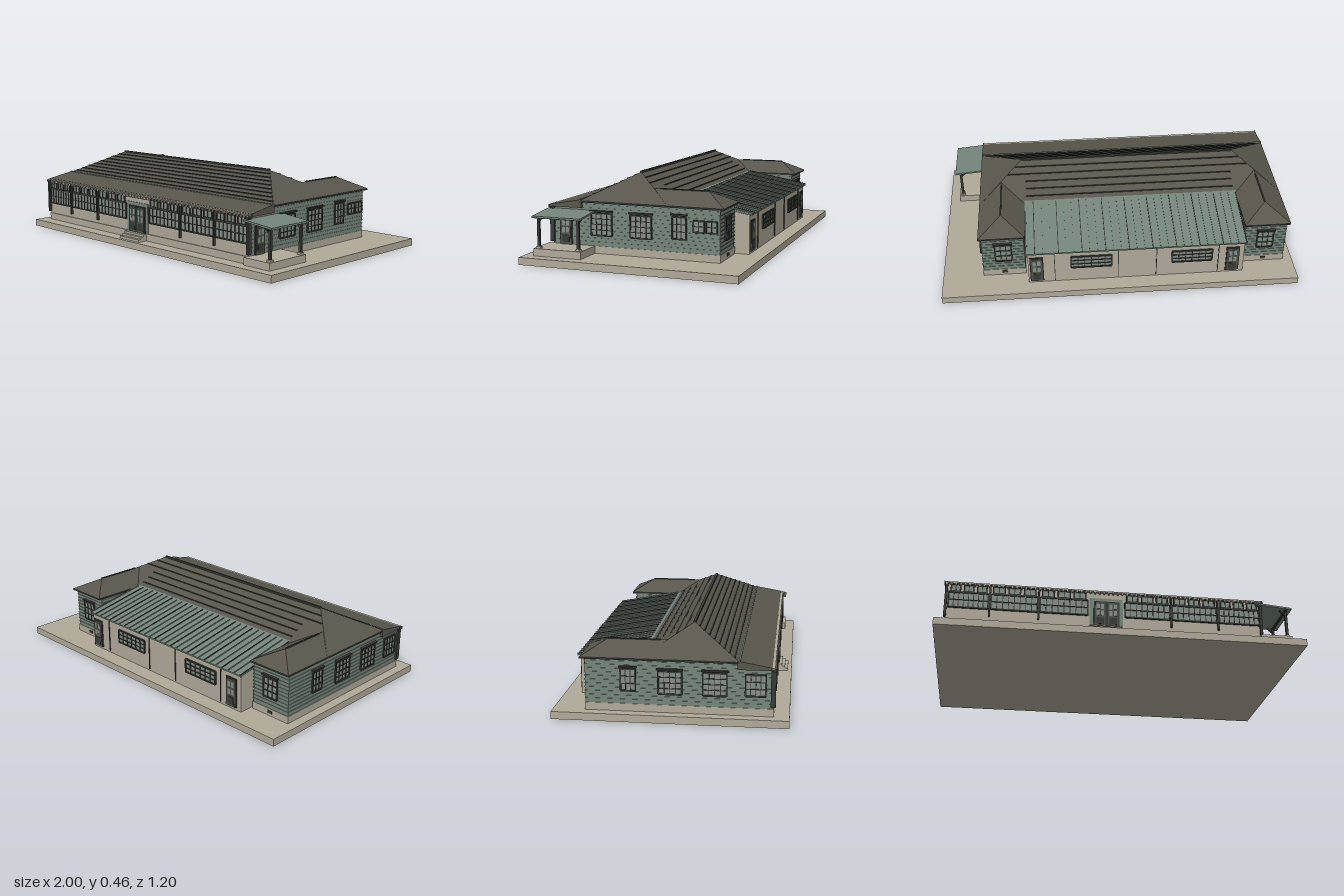
import * as THREE from 'three';

const mat = (name, color, side = THREE.FrontSide) => {
  const m = new THREE.MeshStandardMaterial({ color, side });
  m.name = name;
  return m;
};

export function createModel() {
  const stone = mat('stone', 0xb0aa9a);
  const teal = mat('tealPaint', 0x75857a);
  const roofMat = mat('roofTiles', 0x58564c, THREE.DoubleSide);
  const trim = mat('darkTrim', 0x383a35);
  const glass = mat('glass', 0x838f86);
  const doorMat = mat('doorWood', 0x4e4f47);

  const root = new THREE.Group();
  root.name = 'building';
  const add = (name, geo, m, parent = root) => {
    const mesh = new THREE.Mesh(geo, m);
    mesh.name = name;
    parent.add(mesh);
    return mesh;
  };
  // Box given by its low and high limits
  const box = (name, m, x0, x1, y0, y1, z0, z1, parent = root) => {
    const b = add(name, new THREE.BoxGeometry(x1 - x0, y1 - y0, z1 - z0), m, parent);
    b.position.set((x0 + x1) / 2, (y0 + y1) / 2, (z0 + z1) / 2);
    return b;
  };
  // Profile of [z, y] points swept along x
  const prism = (name, m, pts, x0, x1) => {
    const s = new THREE.Shape(pts.map(([z, y]) => new THREE.Vector2(-z, y)));
    const g = new THREE.ExtrudeGeometry(s, { depth: x1 - x0, bevelEnabled: false });
    g.rotateY(Math.PI / 2);
    return add(name, g, m).translateX(x0);
  };
  // Flat faces from lists of corners
  const faces = (name, m, polys) => {
    const pos = [];
    for (const p of polys)
      for (let i = 1; i < p.length - 1; i++) pos.push(...p[0], ...p[i], ...p[i + 1]);
    const g = new THREE.BufferGeometry();
    g.setAttribute('position', new THREE.Float32BufferAttribute(pos, 3));
    g.computeVertexNormals();
    return add(name, g, m);
  };
  const place = (name, x, y, z, turn) => {
    const g = new THREE.Group();
    g.name = name;
    g.position.set(x, y, z);
    g.rotation.y = turn;
    root.add(g);
    return g;
  };
  // Paned window centred on its position, facing +z before turning
  const paned = (x, y, z, turn, w, h, cols, rows, head = true) => {
    const g = place('window', x, y, z, turn);
    box('pane', glass, -w / 2, w / 2, -h / 2, h / 2, 0, 0.004, g);
    for (let i = 0; i <= cols; i++) {
      const t = i % cols ? 0.002 : 0.004, c = -w / 2 + (w * i) / cols;
      box('upright', trim, c - t, c + t, -h / 2, h / 2, 0, 0.008, g);
    }
    for (let i = 0; i <= rows; i++) {
      const t = i % rows ? 0.002 : 0.004, c = -h / 2 + (h * i) / rows;
      box('crossbar', trim, -w / 2, w / 2, c - t, c + t, 0, 0.009, g);
    }
    if (head) box('windowHead', trim, -w / 2 - 0.008, w / 2 + 0.008, h / 2 + 0.008, h / 2 + 0.016, 0, 0.015, g);
  };
  // Door with glazed top, standing on its position
  const door = (x, y, z, turn, w, h) => {
    const g = place('door', x, y, z, turn);
    box('doorFrame', trim, -w / 2, w / 2, 0, h, 0, 0.006, g);
    box('doorLeaf', doorMat, -w / 2 + 0.007, w / 2 - 0.007, 0, h - 0.008, 0, 0.009, g);
    for (const s of [-1, 1])
      for (const b of [0.42, 0.68])
        box('doorGlass', glass, s * w * 0.17 - w * 0.12, s * w * 0.17 + w * 0.12, h * b, h * (b + 0.2), 0, 0.011, g);
    box('doorPanel', trim, -w * 0.28, w * 0.28, h * 0.08, h * 0.34, 0, 0.011, g);
  };
  const R = Math.PI / 2;

  // Ground slab, foundation and front steps
  box('groundSlab', stone, -1, 1, 0, 0.04, -0.6, 0.6);
  box('foundation', stone, -0.948, 0.773, 0.04, 0.08, -0.15, 0.522);
  for (let i = 0; i < 3; i++)
    box('frontStep', stone, -0.175, -0.01, 0.04, 0.078 - i * 0.012, 0.5, 0.545 + i * 0.017);

  // Main walls, front gallery and two rear wings
  box('mainWalls', teal, -0.945, 0.77, 0.08, 0.318, -0.15, 0.35);
  box('galleryWalls', teal, -0.945, 0.77, 0.08, 0.284, 0.34, 0.512);
  for (const [x0, x1] of [[-0.945, -0.71], [0.535, 0.77]]) {
    box('wingFoundation', stone, x0 - 0.003, x1 + 0.003, 0.04, 0.08, -0.433, -0.1);
    box('wingWalls', teal, x0, x1, 0.08, 0.318, -0.43, -0.1);
    for (let y = 0.1; y < 0.31; y += 0.02) box('wingSiding', teal, x0 - 0.003, x1 + 0.003, y, y + 0.004, -0.433, -0.1);
    paned((x0 + x1) / 2, 0.2, -0.432, Math.PI, 0.09, 0.11, 3, 3);
    box('vent', trim, (x0 + x1) / 2 - 0.015, (x0 + x1) / 2 + 0.015, 0.055, 0.07, -0.437, -0.43);
  }
  for (let y = 0.1; y < 0.31; y += 0.02)
    box('sideSiding', teal, -0.948, 0.773, y, y + 0.004, -0.12, y < 0.27 ? 0.51 : 0.35);

  // Side windows
  for (const [x, turn] of [[0.772, R], [-0.947, -R]]) {
    for (const z of [0.227, 0.002]) paned(x, 0.198, z, turn, 0.118, 0.118, 4, 4);
    paned(x, 0.207, -0.21, turn, 0.075, 0.114, 3, 3);
  }
  for (const z of [-0.318, -0.386]) paned(0.772, 0.221, z, R, 0.058, 0.058, 2, 2, false);
  door(0.772, 0.08, 0.437, R, 0.072, 0.15);
  paned(-0.947, 0.2, 0.43, -R, 0.1, 0.11, 4, 3, false);

  // Gallery front: stone face, window bays, transoms and posts
  box('galleryFront', stone, -0.945, 0.77, 0.08, 0.284, 0.51, 0.516);
  const bays = [[-0.935, -0.725], [-0.71, -0.462], [-0.447, -0.19], [0.015, 0.262], [0.277, 0.525], [0.54, 0.765]];
  for (const [a, b] of bays) {
    const c = (a + b) / 2, w = b - a;
    paned(c, 0.19, 0.516, 0, w, 0.088, 8, 2, false);
    for (const s of [-1, 0, 1]) paned(c + (s * w) / 3, 0.26, 0.516, 0, w / 3 - 0.022, 0.042, 2, 1, false);
  }
  for (const x of [-0.717, -0.455, 0.27, 0.532]) box('galleryPost', trim, x - 0.005, x + 0.005, 0.1, 0.285, 0.515, 0.53);
  for (const x of [-0.949, 0.774]) box('cornerPost', trim, x - 0.007, x + 0.007, 0.09, 0.285, 0.505, 0.53);
  box('entrySurround', teal, -0.18, 0.002, 0.08, 0.25, 0.512, 0.521);
  for (const x of [-0.122, -0.052]) door(x, 0.08, 0.521, 0, 0.07, 0.15);

  // Rear annex
  prism('annexWalls', stone, [[-0.51, 0.04], [-0.51, 0.25], [-0.15, 0.315], [-0.15, 0.04]], -0.695, 0.518);
  for (const x of [0.165, -0.4]) paned(x, 0.175, -0.511, Math.PI, 0.225, 0.075, 6, 3, false);
  for (const x of [0.47, -0.63]) door(x, 0.055, -0.511, Math.PI, 0.075, 0.165);
  for (const x of [0.37, 0.015, -0.2, -0.55]) box('annexBatten', trim, x - 0.002, x + 0.002, 0.05, 0.25, -0.515, -0.508);
  prism('annexRoof', teal, [[-0.525, 0.25], [-0.525, 0.258], [-0.13, 0.33], [-0.13, 0.318]], -0.705, 0.525);
  for (let i = 0; i <= 28; i++) {
    const x = -0.701 + i * 0.0436;
    prism('roofRib', i % 3 ? teal : trim, [[-0.526, 0.257], [-0.526, 0.263], [-0.15, 0.3315], [-0.15, 0.325]], x - 0.002, x + 0.002);
  }

  // Main hipped roof with tile courses
  const x0 = -0.96, x1 = 0.785, eave = 0.321, top = 0.455, run = 0.25, zr = 0.1;
  const A = [x0, eave, zr + run], B = [x1, eave, zr + run], C = [x1, eave, zr - run], D = [x0, eave, zr - run];
  const P = [x0 + run, top, zr], Q = [x1 - run, top, zr];
  faces('mainRoof', roofMat, [[A, B, Q, P], [B, C, Q], [C, D, P, Q], [D, A, P]]);
  box('mainEaves', trim, x0, x1, 0.312, eave, zr - run, zr + run);
  box('ridgeCap', trim, x0 + run, x1 - run, top - 0.005, top + 0.006, zr - 0.007, zr + 0.007);
  for (const [s, n] of [[1, 9], [-1, 6]])
    for (let i = 1; i < n; i++) {
      const t = i / n, y = eave + t * (top - eave), z = zr + s * run * (1 - t);
      const inset = s < 0 && t < 0.55 ? 0.27 : run * t;
      box('tileCourse', trim, x0 + inset, x1 - inset, y - 0.003, y + 0.003, z - 0.004, z + 0.004);
    }

  // Wing roofs, hipped at the back
  for (const [a, b] of [[x0, -0.702], [0.527, x1]]) {
    const c = (a + b) / 2, h = 0.388, zb = -0.455, zf = -0.02;
    const E = [a, eave, zb], F = [b, eave, zb], G = [c, h, zb + 0.125], H = [c, h, zf];
    const I = [a, eave, -0.14], J = [b, eave, -0.14];
    faces('wingRoof', roofMat, [[F, E, G], [E, I, H, G], [J, F, G, H]]);
    box('wingEaves', trim, a, b, 0.312, eave, zb, -0.14);
    box('wingRidge', trim, c - 0.004, c + 0.004, h - 0.004, h + 0.003, zb + 0.125, -0.06);
  }

  // Gallery roof with flashing, gutter and rafter tails
  prism('galleryRoof', roofMat, [[0.34, 0.327], [0.51, 0.297], [0.51, 0.282], [0.34, 0.282]], x0, x1);
  box('flashing', teal, x0, x1, 0.32, 0.329, 0.345, 0.353);
  box('gutter', stone, x0, x1, 0.288, 0.296, 0.508, 0.524);
  for (let i = 0; i < 70; i++) {
    const x = x0 + 0.01 + (i * (x1 - x0 - 0.02)) / 69;
    box('rafterTail', stone, x - 0.004, x + 0.004, 0.276, 0.293, 0.515, 0.53);
  }
  for (const x of [x0, x1]) box('gutterEnd', trim, x - 0.003, x + 0.003, 0.278, 0.292, 0.505, 0.533);

  // Side entrance canopy and platform
  box('canopyPlatform', stone, 0.765, 0.94, 0.04, 0.08, 0.27, 0.545);
  const canopy = new THREE.Shape([[0.76, 0.272], [0.76, 0.262], [0.95, 0.244], [0.95, 0.254]].map(p => new THREE.Vector2(...p)));
  add('canopyRoof', new THREE.ExtrudeGeometry(canopy, { depth: 0.28, bevelEnabled: false }), teal).position.z = 0.265;
  for (const z of [0.29, 0.52]) {
    box('canopyPost', trim, 0.913, 0.927, 0.08, 0.248, z - 0.007, z + 0.007);
    box('canopyFoot', stone, 0.908, 0.932, 0.08, 0.09, z - 0.012, z + 0.012);
    const brace = box('canopyBrace', trim, 0.88, 0.92, 0.228, 0.235, z - 0.004, z + 0.004);
    brace.rotation.z = -0.7;
  }
  box('canopyBeam', trim, 0.914, 0.926, 0.238, 0.248, 0.27, 0.54);
  return root;
}
